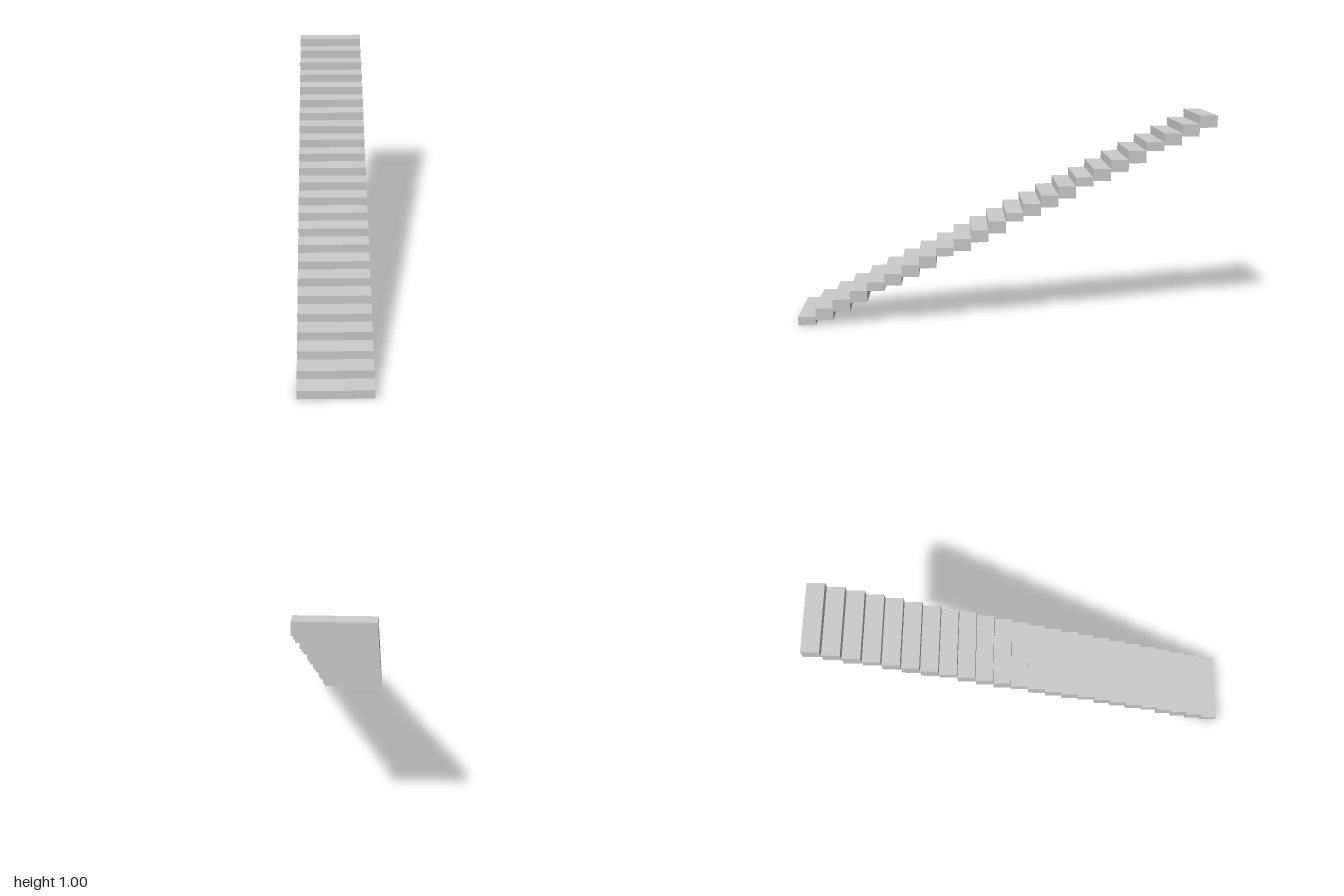
import * as THREE from 'three';

export function createModel() {
  const group = new THREE.Group();
  group.name = 'staircase';
  const material = new THREE.MeshStandardMaterial({ color: 0xcccccc, flatShading: true });

  const count = 24;
  const width = 1 / 3;
  const depth = 2 / count;
  const rise = 1 / count;
  const thick = 0.058;

  // Solid steps climbing towards the back; every fourth one is only as thick as the rise
  for (let i = 0; i < count; i++) {
    const height = i % 4 === 0 ? rise : thick;
    const step = new THREE.Mesh(new THREE.BoxGeometry(width, height, depth), material);
    step.name = `step${i + 1}`;
    step.position.set(0, (i + 1) * rise - height / 2, 1 - (i + 0.5) * depth);
    group.add(step);
  }
  return group;
}
